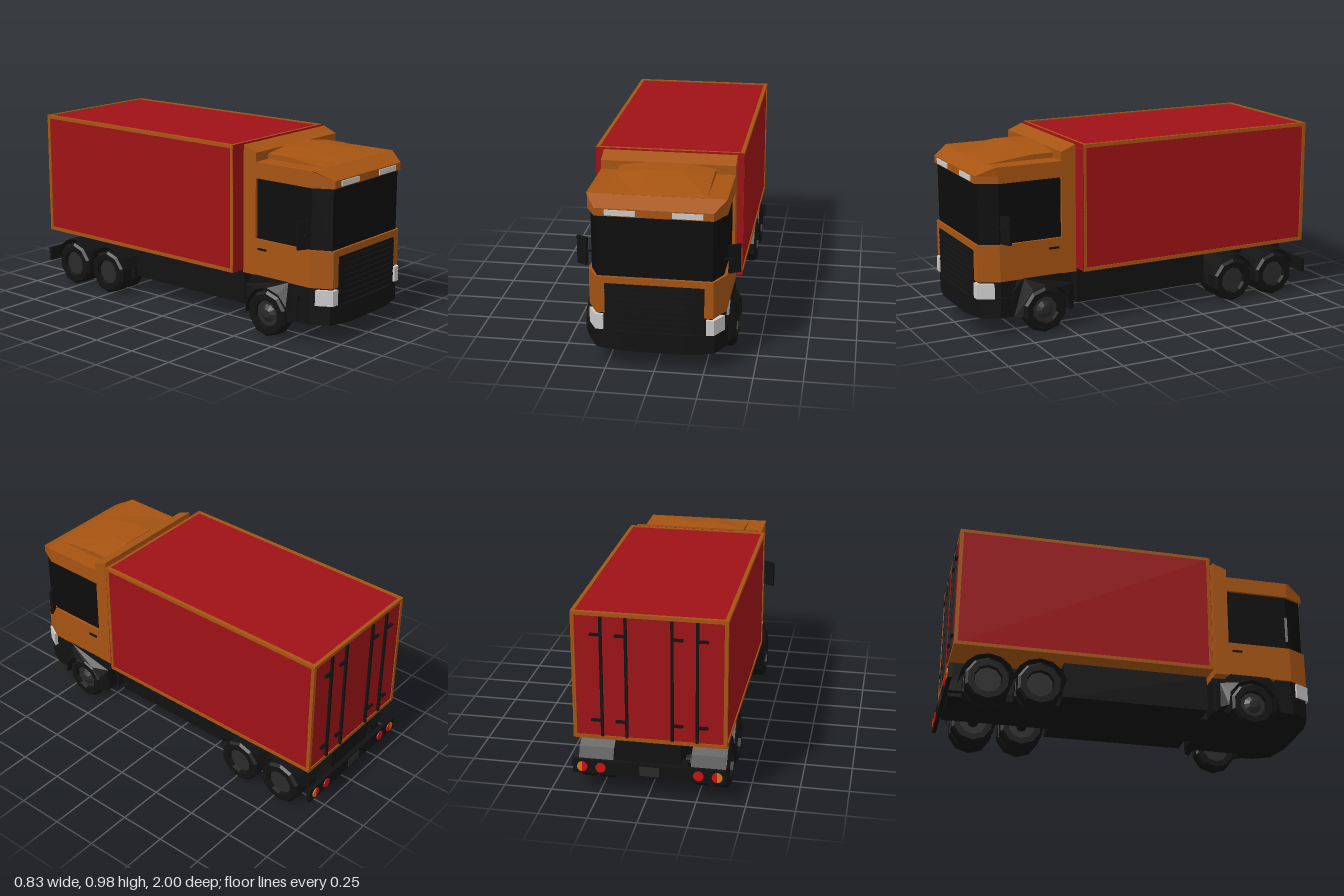
import * as THREE from 'three';

const mat = (color) => new THREE.MeshStandardMaterial({ color, flatShading: true, side: THREE.DoubleSide });
const ORANGE = mat(0xa65412), RED = mat(0x9e1216), BLACK = mat(0x121212), GLASS = mat(0x0c0c0c);
const HUB = mat(0x2a2a2a), GREY = mat(0xcccccc), LAMP = mat(0xd01010), AMBER = mat(0xd07818);

export function createModel() {
  const model = new THREE.Group();

  const add = (name, geo, material, parent = model) => {
    const mesh = new THREE.Mesh(geo, material);
    mesh.name = name;
    parent.add(mesh);
    return mesh;
  };
  // box given by its limits
  const box = (name, m, x0, x1, y0, y1, z0, z1, parent) => add(name,
    new THREE.BoxGeometry(x1 - x0, y1 - y0, z1 - z0)
      .translate((x0 + x1) / 2, (y0 + y1) / 2, (z0 + z1) / 2), m, parent);
  // plan outline [x, z] raised from y0 to y1
  const prism = (pts, y0, y1) => new THREE.ExtrudeGeometry(
    new THREE.Shape(pts.map(([x, z]) => new THREE.Vector2(x, -z))),
    { depth: y1 - y0, bevelEnabled: false }).rotateX(-Math.PI / 2).translate(0, y0, 0);
  // side outline [z, y] spread from x0 to x1
  const sideways = (pts, x0, x1) => new THREE.ExtrudeGeometry(
    new THREE.Shape(pts.map(([z, y]) => new THREE.Vector2(z, y))),
    { depth: x1 - x0, bevelEnabled: false }).rotateY(-Math.PI / 2).translate(x1, 0, 0);
  // half outline mirrored across x
  const both = (half) => [...half, ...half.map(([x, z]) => [-x, z]).reverse()];
  const reshape = (geo, rule) => {
    const p = geo.attributes.position, v = new THREE.Vector3();
    for (let i = 0; i < p.count; i++) {
      rule(v.fromBufferAttribute(p, i));
      p.setXYZ(i, v.x, v.y, v.z);
    }
    geo.computeVertexNormals();
    return geo;
  };

  // cab body
  const cabPlan = both([[0.35, 0.44], [0.35, 0.87], [0.295, 0.975]]);
  add('cabLower', prism(cabPlan, 0.295, 0.49), ORANGE);
  add('cabGlass', prism(both([[0.335, 0.5], [0.335, 0.865], [0.288, 0.962]]), 0.49, 0.81), GLASS);
  box('cabRear', ORANGE, -0.35, 0.35, 0.49, 0.81, 0.44, 0.52);
  add('cabVisor', prism(cabPlan, 0.81, 0.85), ORANGE);
  add('cabRoof', reshape(prism(cabPlan, 0.85, 0.895), (v) => {
    if (v.y > 0.88 && v.z > 0.9) { v.x = Math.sign(v.x) * 0.35; v.z = 0.887; }
  }), ORANGE);
  add('roofRearWedge', sideways([[0.44, 0.895], [0.52, 0.895], [0.52, 0.942], [0.44, 0.975]], -0.35, 0.35), ORANGE);

  // roof deflector, sloping down to the front
  const hump = new THREE.ExtrudeGeometry(new THREE.Shape([[-0.25, 0.89], [0.25, 0.89], [0.25, 0.922],
    [0.09, 0.945], [-0.09, 0.945], [-0.25, 0.922]].map((p) => new THREE.Vector2(...p))),
    { depth: 0.37, steps: 2, bevelEnabled: false }).translate(0, 0, 0.52);
  add('roofDeflector', reshape(hump, (v) => {
    if (v.z > 0.85) v.y = Math.min(v.y, 0.894);
    else if (v.z > 0.6) v.z = 0.64;
  }), ORANGE);

  // bumper, grille and underbody
  add('bumper', prism(both([[0.35, 0.78], [0.35, 0.87], [0.3, 0.965], [0.16, 1]]), 0.1, 0.205), BLACK);
  add('bumperUpper', prism(both([[0.34, 0.78], [0.34, 0.865], [0.288, 0.965]]), 0.205, 0.296), BLACK);
  add('grille', prism(both([[0.25, 0.95], [0.25, 0.977], [0.15, 0.982]]), 0.205, 0.455), BLACK);
  for (let i = 0; i < 8; i++) {
    add('grilleSlat', prism(both([[0.25, 0.96], [0.25, 0.979], [0.15, 0.992]]), 0.215 + i * 0.03, 0.232 + i * 0.03), BLACK);
  }
  box('engineBay', BLACK, -0.29, 0.29, 0.1, 0.296, 0.44, 0.79);
  box('chassis', BLACK, -0.165, 0.165, 0.1, 0.295, -0.97, 0.5);
  box('sideTank', BLACK, -0.295, 0.285, 0.1, 0.295, -0.38, 0.405);

  // paired cab details
  for (const s of [1, -1]) {
    const m = (pts) => pts.map(([x, z]) => [s * x, z]);
    add('headlight', prism(m([[0.26, 0.95], [0.26, 0.983], [0.3, 0.98], [0.345, 0.9], [0.3, 0.9]]), 0.205, 0.286), GREY);
    add('visorLamp', new THREE.BoxGeometry(0.152, 0.028, 0.01).translate(s * 0.167, 0.83, 0.976), GREY);
    add('doorHandle', new THREE.BoxGeometry(0.012, 0.01, 0.055).translate(s * 0.351, 0.44, 0.567), BLACK);
    add('mirrorArm', new THREE.BoxGeometry(0.06, 0.009, 0.012).translate(s * 0.355, 0.575, 0.862), BLACK);
    const mirror = add('mirror', new THREE.BoxGeometry(0.062, 0.148, 0.014), BLACK);
    mirror.position.set(s * 0.384, 0.573, 0.848);
    mirror.rotation.y = s * 0.5;

    // front mudguard with wheel arch
    const arch = [[0.46, 0.1], [0.46, 0.24], [0.52, 0.298], [0.74, 0.298], [0.8, 0.24], [0.8, 0.1]];
    for (let i = 0; i <= 6; i++) {
      const a = -0.14 + i * (Math.PI + 0.28) / 6;
      arch.push([0.63 + 0.137 * Math.cos(a), 0.12 + 0.137 * Math.sin(a)]);
    }
    const guard = sideways(arch, s > 0 ? 0.29 : -0.395, s > 0 ? 0.39 : -0.29);
    add('frontMudguard', reshape(guard, (v) => {
      const edge = v.y > 0.29 || Math.abs(v.z - 0.63) > 0.165;
      if (Math.abs(v.x) > 0.35 && edge) v.x = s * 0.355;
    }), BLACK);
  }

  // wheels: ten-sided tyre with recessed hub
  const tyre = new THREE.LatheGeometry([[0.075, -0.045], [0.108, -0.045], [0.122, -0.033], [0.122, 0.033],
    [0.108, 0.045], [0.075, 0.045], [0.07, 0.025]].map((p) => new THREE.Vector2(...p)), 10)
    .rotateY(Math.PI / 10).rotateZ(-Math.PI / 2);
  const wheel = (name, x, z, s, front) => {
    const g = new THREE.Group();
    g.name = name;
    g.position.set(x, 0.118, z);
    g.rotation.y = s > 0 ? 0 : Math.PI;
    add('tyre', tyre, BLACK, g);
    add('rim', new THREE.CylinderGeometry(0.076, 0.076, 0.05, 10).rotateY(Math.PI / 10).rotateZ(-Math.PI / 2), HUB, g);
    if (front) add('hubCap', new THREE.CylinderGeometry(0.022, 0.05, 0.018, 10).rotateZ(-Math.PI / 2).translate(0.033, 0, 0), HUB, g);
    model.add(g);
  };
  const MID = -0.01;
  for (const s of [1, -1]) {
    wheel('frontWheel', MID + s * 0.345, 0.63, s, true);
    for (const z of [-0.52, -0.79]) {
      wheel('rearOuterWheel', MID + s * 0.345, z, s, false);
      wheel('rearInnerWheel', MID + s * 0.245, z, s, false);
      // rear mudguard
      const x = MID + s * 0.29;
      const cover = new THREE.CylinderGeometry(0.145, 0.145, 0.18, 6, 1, true, 0.25, Math.PI - 0.5)
        .rotateZ(Math.PI / 2).rotateX(0);
      // keep the open arc facing down
      cover.computeBoundingBox();
      if (cover.boundingBox.max.y < 0.1) cover.rotateX(Math.PI);
      add('rearMudguard', cover.translate(x, 0.118, z), BLACK);
    }
  }
  for (const z of [-0.52, -0.79]) {
    add('axle', new THREE.CylinderGeometry(0.03, 0.03, 0.6, 8).rotateZ(Math.PI / 2).translate(MID, 0.118, z), BLACK);
  }

  // cargo box: red core, orange frame
  const X0 = -0.4, X1 = 0.38, Y0 = 0.295, Y1 = 0.975, Z0 = -0.975, Z1 = 0.41, T = 0.019, D = 0.005;
  box('cargoBody', RED, X0 + D, X1 - D, Y0 + D, Y1 - D, Z0 + D, Z1 - D);
  box('cargoFront', RED, X0, X1, Y0, Y1, Z1 - D, Z1 + 0.001);
  box('cargoFloor', ORANGE, X0, X1, Y0, Y0 + T, Z0, Z1);
  for (const x of [X0, X1 - T]) {
    box('frameTopRail', ORANGE, x, x + T, Y1 - T, Y1, Z0, Z1);
    for (const z of [Z0, Z1 - T]) box('framePost', ORANGE, x, x + T, Y0, Y1, z, z + T);
  }
  for (const z of [Z0, Z1 - T]) box('frameCrossRail', ORANGE, X0, X1, Y1 - T, Y1, z, z + T);

  // rear doors: lock rods with short brackets
  for (const o of [-0.24, -0.115, 0.115, 0.24]) {
    const x = MID + o, d = Math.sign(o);
    box('lockRod', BLACK, x - 0.007, x + 0.007, Y0 + T, Y1 - T, -0.982, -0.968);
    for (const y of [0.4, 0.86]) {
      add('lockBracket', new THREE.BoxGeometry(0.06, 0.012, 0.014).translate(x + d * 0.025, y, -0.977), BLACK);
    }
  }

  // rear bumper with lamps and plate
  box('rearBumper', BLACK, -0.4, 0.385, 0.105, 0.18, -0.995, -0.975);
  box('rearBumperMount', BLACK, -0.2, 0.18, 0.12, 0.18, -0.98, -0.9);
  box('rearPlate', HUB, -0.06, 0.04, 0.118, 0.168, -0.999, -0.99);
  const lamp = (name, x, m, start, length) => add(name,
    new THREE.CylinderGeometry(0.027, 0.027, 0.012, 10, 1, false, start, length)
      .rotateX(-Math.PI / 2).translate(x, 0.143, -0.994), m);
  for (const s of [1, -1]) {
    lamp('brakeLamp', MID + s * 0.25, LAMP, 0, Math.PI * 2);
    lamp('tailLamp', MID + s * 0.345, LAMP, s > 0 ? Math.PI : 0, Math.PI);
    lamp('turnLamp', MID + s * 0.345, AMBER, s > 0 ? 0 : Math.PI, Math.PI);
  }
  return model;
}
